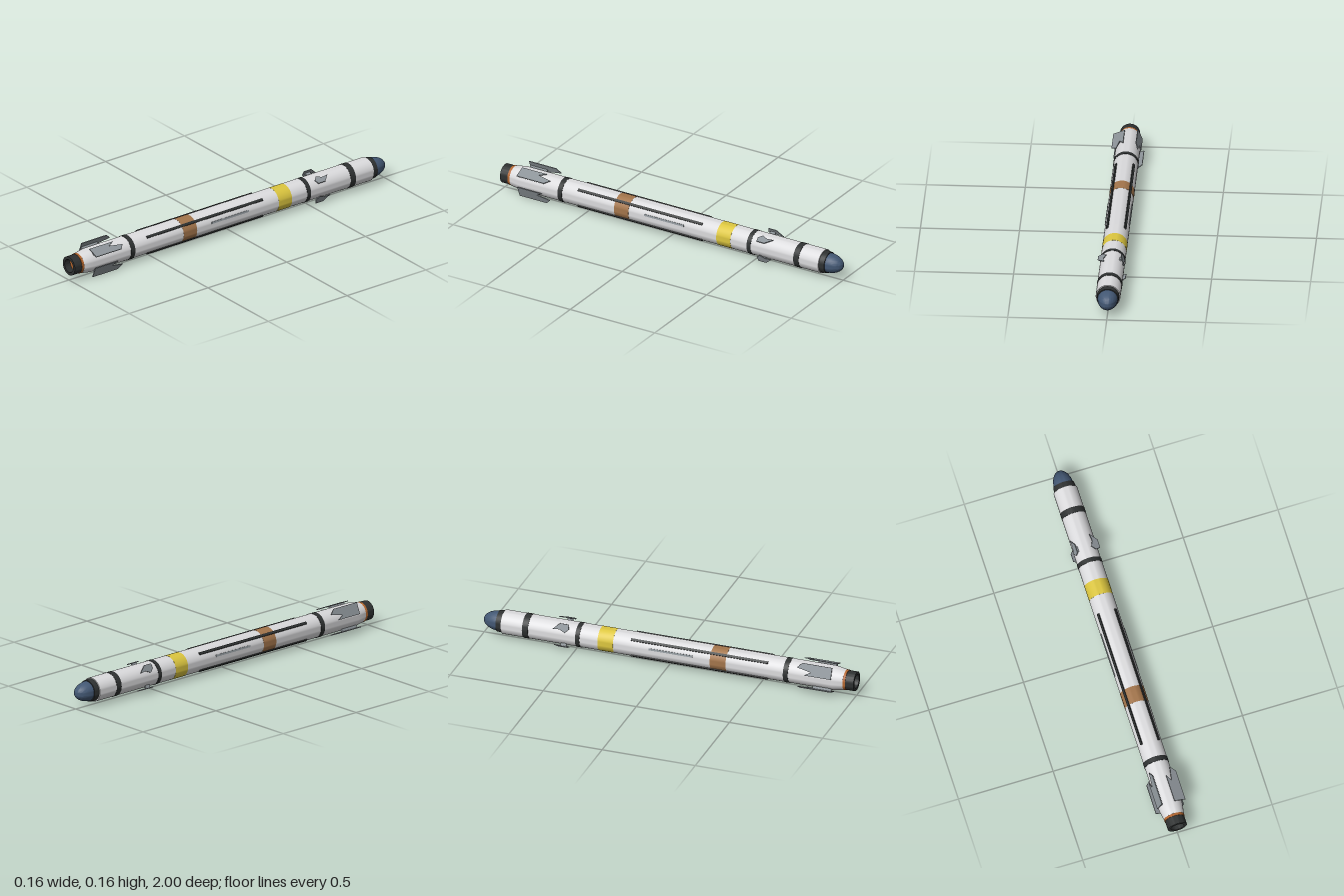
import * as THREE from 'three';
import { toCreasedNormals } from 'three/addons/utils/BufferGeometryUtils.js';

const AXIS_Y = 0.078; // height of the long axis
const R = 0.0625; // tube radius

function mat(name, color, side = THREE.FrontSide) {
  const m = new THREE.MeshStandardMaterial({ color, side });
  m.name = name;
  return m;
}

export function createModel() {
  const white = mat('bodyWhite', 0xdcdcde);
  const dark = mat('charcoal', 0x2e3131);
  const yellow = mat('yellow', 0xdcc63f);
  const brown = mat('bandBrown', 0xa3754b);
  const orange = mat('nozzleOrange', 0xb4672f);
  const slate = mat('noseBlue', 0x435874);
  const grey = mat('finGrey', 0x8d9499);

  const model = new THREE.Group();
  model.name = 'missile';
  const craft = new THREE.Group();
  craft.name = 'airframe';
  craft.position.y = AXIS_Y;
  model.add(craft);

  function add(name, geometry, material, parent = craft) {
    const mesh = new THREE.Mesh(geometry, material);
    mesh.name = name;
    parent.add(mesh);
    return mesh;
  }

  // Turned part along z from [radius, z] points, nose side first
  function turned(name, points, material) {
    const g = new THREE.LatheGeometry(points.map(([r, z]) => new THREE.Vector2(r, z)), 40);
    g.rotateX(Math.PI / 2);
    add(name, toCreasedNormals(g, 0.5), material);
  }
  const band = (name, z0, z1, r, material) =>
    turned(name, [[R - 0.003, z0], [r, z0], [r, z1], [R - 0.003, z1]], material);

  // Nose dome
  const dome = [];
  for (let i = 0; i <= 12; i++) {
    const a = (i / 12) * Math.PI / 2;
    dome.push([0.051 * Math.sin(a), -0.915 - 0.085 * Math.cos(a)]);
  }
  turned('noseDome', dome, slate);
  turned('noseCollar', [[0, -0.92], [0.055, -0.92], [0.058, -0.885], [0.04, -0.885]], dark);

  // Main tube with tapered tail
  turned('bodyTube', [[0, -0.89], [R, -0.89], [R, 0.885], [0.053, 0.942], [0, 0.942]], white);

  // Painted and raised bands
  band('forwardRing', -0.775, -0.743, R + 0.0015, dark);
  band('middleRing', -0.49, -0.467, R + 0.0015, dark);
  band('rearRing', 0.626, 0.652, R + 0.0015, dark);
  band('yellowBand', -0.37, -0.287, R + 0.0005, yellow);
  band('brownBand', 0.233, 0.318, R + 0.0005, brown);

  // Nozzle with recessed throat
  turned('nozzleRing', [[0, 0.938], [0.0525, 0.938], [0.0525, 0.955], [0, 0.955]], orange);
  turned('nozzleShroud', [[0.05, 0.952], [0.05, 1], [0.035, 1], [0.035, 0.962]], dark);
  turned('nozzleThroat', [[0.036, 0.965], [0, 0.965]], orange);

  // Flat folded fin plate from [across, z] points
  function plate(points) {
    const shape = new THREE.Shape(points.map(([u, z]) => new THREE.Vector2(u, z)));
    const g = new THREE.ExtrudeGeometry(shape, { depth: 0.004, bevelEnabled: false });
    g.rotateX(Math.PI / 2);
    g.translate(0, 0.073, 0);
    return g;
  }
  const rearFin = plate([[-0.007, 0.885], [0.0545, 0.885], [0.0545, 0.725],
    [0.028, 0.7], [0.013, 0.775], [-0.007, 0.74]]);
  const frontFin = plate([[0.002, -0.545], [0.022, -0.525], [0.047, -0.53],
    [0.047, -0.575], [0.012, -0.612], [0.016, -0.575]]);

  // Four quarters: fins on hinges, and long strakes between them
  for (let i = 0; i < 4; i++) {
    const finSet = new THREE.Group();
    finSet.name = 'finSet' + (i + 1);
    finSet.rotation.z = -0.39 + i * Math.PI / 2;
    craft.add(finSet);
    add('rearFin', rearFin, grey, finSet);
    add('frontFin', frontFin, grey, finSet);
    const rearHinge = add('rearFinHinge', new THREE.BoxGeometry(0.01, 0.018, 0.1), grey, finSet);
    rearHinge.position.set(0.023, 0.0615, 0.83);
    const frontHinge = add('frontFinHinge', new THREE.BoxGeometry(0.008, 0.018, 0.03), grey, finSet);
    frontHinge.position.set(0.028, 0.0605, -0.555);

    const strakeSet = new THREE.Group();
    strakeSet.name = 'strakeSet' + (i + 1);
    strakeSet.rotation.z = Math.PI / 4 + i * Math.PI / 2;
    craft.add(strakeSet);
    const strake = add('strake', new THREE.BoxGeometry(0.01, 0.013, 0.735), dark, strakeSet);
    strake.position.set(0.0625, 0, 0.1725);
  }

  // Slim grey side strips, mirrored
  for (const s of [1, -1]) {
    const strip = add(s > 0 ? 'leftStrip' : 'rightStrip', new THREE.BoxGeometry(0.004, 0.01, 0.235), grey);
    strip.position.set(s * 0.0609, 0.0155, 0.0225);
    strip.rotation.z = s * 0.25;
  }

  return model;
}
